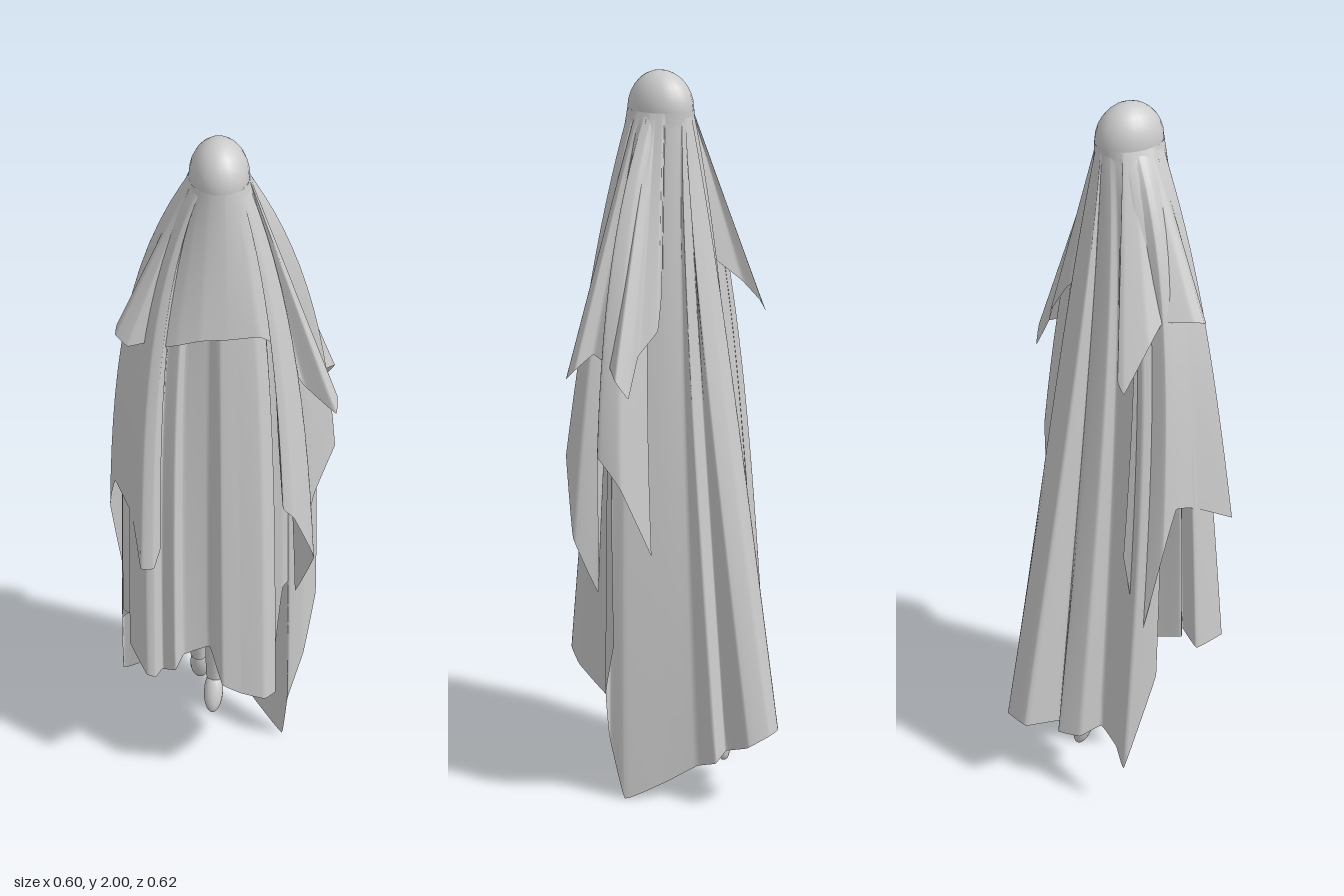
import * as THREE from 'three';

const cloth = new THREE.MeshStandardMaterial({ color: 0xcccccc, side: THREE.DoubleSide });
const HEAD = { x: -0.012, y: 1.9, z: 0.07, rx: 0.076, rz: 0.093 };

// Cloth hanging from the head ring to a hem given as [x, z, y] points,
// listed from the front round by +x. spread > 0 makes it widen early, at the shoulders.
function drape(name, hem, { closed = true, spread = 0, rows = 14, inset = 1 } = {}) {
  const curve = new THREE.CatmullRomCurve3(
    hem.map(([x, z, y]) => new THREE.Vector3(x, y, z)), closed, 'catmullrom', 0.12);
  const cols = hem.length * 5;
  const pos = [], idx = [];
  for (let i = 0; i <= cols; i++) {
    const p = curve.getPoint(i / cols);
    const a = Math.atan2(p.x - HEAD.x, p.z - HEAD.z);
    const hx = HEAD.x + Math.sin(a) * HEAD.rx * inset;
    const hz = HEAD.z + Math.cos(a) * HEAD.rz * inset;
    for (let r = 0; r <= rows; r++) {
      const t = (r / rows) ** 1.3;
      const f = spread ? (1 - Math.exp(-spread * t)) / (1 - Math.exp(-spread)) : t;
      pos.push(hx + (p.x - hx) * f, HEAD.y + (p.y - HEAD.y) * t, hz + (p.z - hz) * t);
    }
  }
  const n = rows + 1;
  for (let i = 0; i < cols; i++) {
    for (let r = 0; r < rows; r++) {
      const a = i * n + r, d = a + n;
      idx.push(a, a + 1, d + 1, a, d + 1, d);
    }
  }
  const geo = new THREE.BufferGeometry();
  geo.setAttribute('position', new THREE.Float32BufferAttribute(pos, 3));
  geo.setIndex(idx);
  geo.computeVertexNormals();
  const mesh = new THREE.Mesh(geo, cloth);
  mesh.name = name;
  return mesh;
}

// Leg from thigh to ankle, with a hanging foot pointing from ankle to toe
function leg(name, thigh, ankle, toe) {
  const [top, low, tip] = [thigh, ankle, toe].map((p) => new THREE.Vector3(...p));
  const g = new THREE.Group();
  g.name = name;
  const shin = new THREE.Mesh(
    new THREE.TubeGeometry(new THREE.LineCurve3(top, low), 4, 0.025, 10), cloth);
  shin.name = 'shin';
  const foot = new THREE.Mesh(new THREE.SphereGeometry(1, 14, 10), cloth);
  foot.name = 'foot';
  foot.scale.set(0.028, low.distanceTo(tip) * 0.6, 0.026);
  foot.position.lerpVectors(low, tip, 0.45);
  foot.quaternion.setFromUnitVectors(
    new THREE.Vector3(0, 1, 0), low.clone().sub(tip).normalize());
  g.add(shin, foot);
  return g;
}

export function createModel() {
  const model = new THREE.Group();
  model.name = 'drapedFigure';

  // Crown of the head under the cloth
  const crown = new THREE.Mesh(
    new THREE.SphereGeometry(1, 20, 7, 0, Math.PI * 2, 0, Math.PI / 2), cloth);
  crown.name = 'headCrown';
  crown.scale.set(HEAD.rx, 0.1, HEAD.rz);
  crown.position.set(HEAD.x, HEAD.y, HEAD.z);
  model.add(crown);

  // Long sheet: front panel, side slit, left tail, pleated back, right lobes
  model.add(drape('longSheet', [
    [0.03, 0.303, 0.39], [0.095, 0.308, 0.37], [0.13, 0.25, 0.34], [0.13, 0.125, 0.26],
    [0.16, 0.11, 0.6], [0.24, 0.05, 0.62], [0.262, 0.02, 0.5], [0.225, 0.08, 0.33],
    [0.18, 0.105, 0.18], [0.17, 0.06, 0.0], [0.10, -0.03, 0.05], [0.05, -0.10, 0.1],
    [0.06, -0.17, 0.13], [0.01, -0.17, 0.15], [0.05, -0.27, 0.2], [0.0, -0.31, 0.23],
    [-0.065, -0.29, 0.22], [-0.06, -0.18, 0.19], [-0.09, -0.2, 0.18], [-0.14, -0.16, 0.18],
    [-0.14, -0.09, 0.19], [-0.22, -0.09, 0.17], [-0.28, -0.102, 0.14], [-0.28, 0.0, 0.42],
    [-0.22, 0.03, 0.5], [-0.28, 0.08, 0.52], [-0.22, 0.12, 0.5], [-0.265, 0.14, 0.45],
    [-0.225, 0.25, 0.43], [-0.20, 0.253, 0.42], [-0.18, 0.21, 0.41], [-0.145, 0.24, 0.43],
    [-0.12, 0.20, 0.45], [-0.05, 0.205, 0.48], [-0.035, 0.27, 0.46], [-0.02, 0.30, 0.42],
  ], { spread: 4, rows: 24, inset: 0.97 }));

  // Upper layer over chest and shoulders, tucked in at the back
  model.add(drape('shoulderCape', [
    [0.0, 0.203, 1.5], [0.08, 0.196, 1.5], [0.13, 0.165, 1.45], [0.20, 0.13, 1.3],
    [0.285, 0.155, 1.22], [0.292, 0.12, 1.25], [0.25, 0.09, 1.29], [0.26, 0.03, 1.27],
    [0.30, -0.02, 1.25], [0.275, -0.045, 1.2], [0.22, -0.035, 1.3], [0.17, -0.06, 1.36],
    [0.12, -0.035, 1.45], [0.07, 0.0, 1.5], [0.0, -0.02, 1.5], [-0.06, -0.015, 1.5],
    [-0.11, -0.02, 1.5], [-0.20, -0.06, 1.42], [-0.235, -0.10, 1.36], [-0.26, -0.095, 1.33],
    [-0.255, -0.02, 1.44], [-0.24, 0.03, 1.49], [-0.275, 0.10, 1.49], [-0.28, 0.13, 1.48],
    [-0.25, 0.155, 1.46], [-0.18, 0.12, 1.45], [-0.18, 0.165, 1.46], [-0.13, 0.19, 1.48],
    [-0.07, 0.203, 1.5],
  ]));

  // Lower layers hanging from the arms
  model.add(drape('leftSleeve', [
    [0.13, 0.19, 1.2], [0.14, 0.26, 1.0], [0.17, 0.255, 0.96], [0.235, 0.18, 0.76],
    [0.19, 0.13, 0.6], [0.24, 0.09, 0.9], [0.30, 0.04, 1.03], [0.28, -0.02, 0.95],
    [0.20, -0.06, 0.75],
  ], { closed: false, spread: 2, inset: 0.96 }));
  model.add(drape('rightSleeve', [
    [-0.18, 0.225, 0.85], [-0.20, 0.268, 0.82], [-0.235, 0.265, 0.82], [-0.25, 0.14, 0.9],
    [-0.29, 0.05, 0.95], [-0.305, 0.0, 0.83], [-0.27, -0.05, 0.55], [-0.22, -0.07, 0.8],
  ], { closed: false, spread: 3, inset: 0.96 }));

  model.add(
    leg('leftLeg', [-0.03, 0.8, 0.06], [-0.02, 0.17, -0.02], [-0.03, 0.075, 0.03]),
    leg('rightLeg', [-0.09, 0.8, 0.03], [-0.06, 0.2, -0.08], [-0.055, 0.09, -0.115]));
  return model;
}
